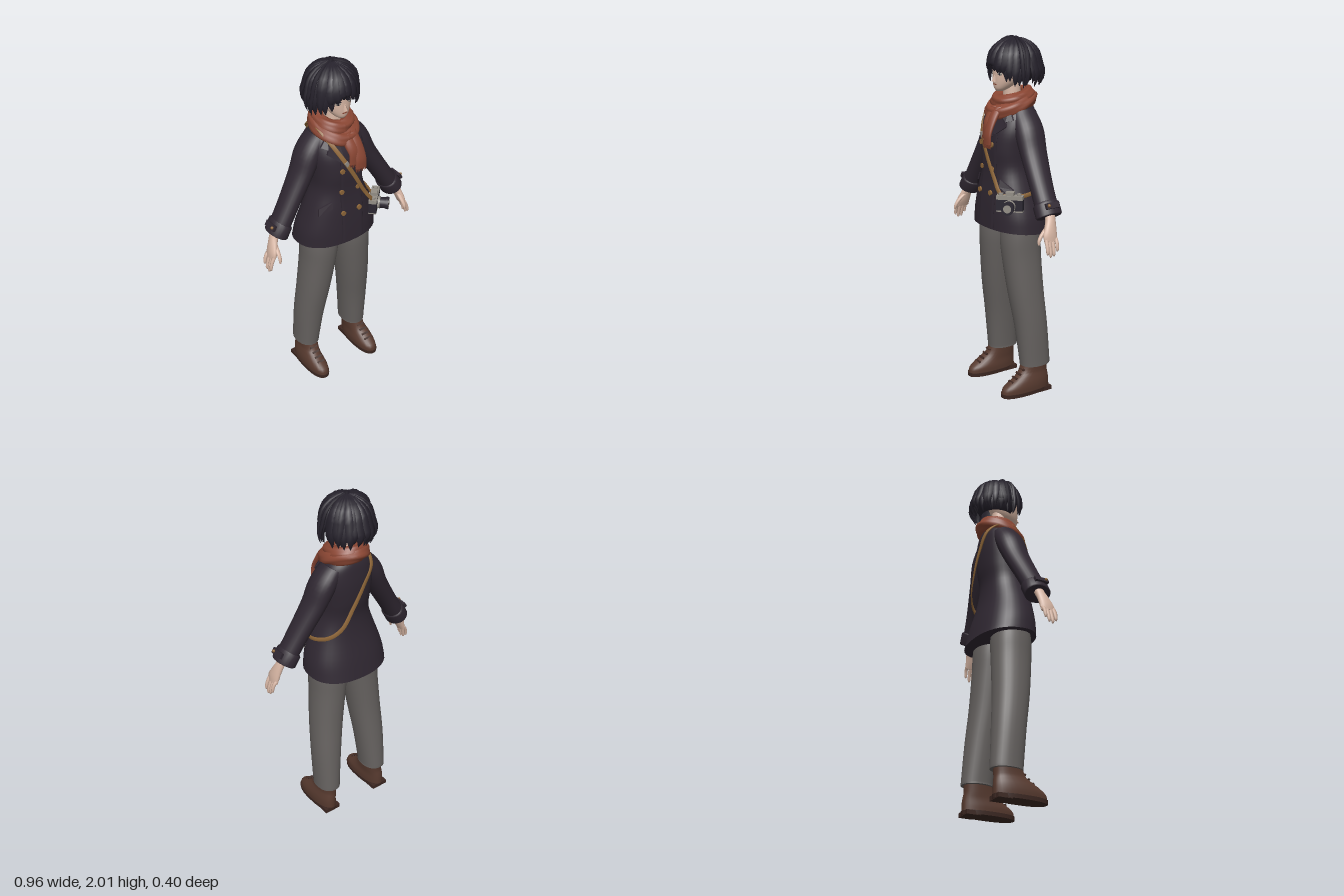
import * as THREE from 'three';

const mat = (name, color, side = THREE.FrontSide) =>
  Object.assign(new THREE.MeshStandardMaterial({ color, side }), { name });
const M = {
  coat: mat('dark plum wool', 0x2f2731),
  hair: mat('black hair', 0x25212b, THREE.DoubleSide),
  scarf: mat('rust scarf', 0x8a4633),
  trousers: mat('grey trousers', 0x666260),
  boots: mat('brown leather', 0x573a2f),
  sole: mat('dark sole', 0x3d2822),
  skin: mat('skin', 0xd6b5a3),
  strap: mat('tan leather', 0x8f6739, THREE.DoubleSide),
  metal: mat('grey metal', 0x938e86),
  black: mat('black plastic', 0x2a2630),
};
const V = (x, y, z) => new THREE.Vector3(x, y, z);
const Z = V(0, 0, 1);

let seed = 11;
const rnd = () => (seed = (seed * 16807) % 2147483647) / 2147483647;

// Resample sections [x, y, z, halfWidth, halfDepth] along a smooth curve
function smooth(secs, k = 4) {
  const a = new THREE.CatmullRomCurve3(secs.map(s => V(s[0], s[1], s[2])), false, 'catmullrom');
  const b = new THREE.CatmullRomCurve3(secs.map(s => V(s[3], s[4], 0)), false, 'catmullrom');
  const n = (secs.length - 1) * k;
  return Array.from({ length: n + 1 }, (_, i) => {
    const p = a.getPoint(i / n), r = b.getPoint(i / n);
    return [p.x, p.y, p.z, r.x, r.y];
  });
}

// Skin over rounded cross-sections, ordered bottom to top; normals give the depth direction
function sweep(secs, { n = 20, power = 2, normals = null, closed = false } = {}) {
  const pos = [], idx = [], rows = secs.length;
  const P = secs.map(s => V(s[0], s[1], s[2]));
  const bend = v => Math.sign(v) * Math.abs(v) ** (2 / power);
  const ring = i => {
    const lo = closed ? (i + rows - 1) % rows : Math.max(i - 1, 0);
    const hi = closed ? (i + 1) % rows : Math.min(i + 1, rows - 1);
    const d = normals ? normals[i] : Z;
    const e = P[hi].clone().sub(P[lo]).cross(d).normalize();
    for (let j = 0; j < n; j++) {
      const a = (j / n) * Math.PI * 2;
      const q = P[i].clone().addScaledVector(e, secs[i][3] * bend(Math.sin(a)))
        .addScaledVector(d, secs[i][4] * bend(Math.cos(a)));
      pos.push(q.x, q.y, q.z);
    }
  };
  for (let i = 0; i < rows; i++) ring(i);
  for (let i = 0; i < (closed ? rows : rows - 1); i++) for (let j = 0; j < n; j++) {
    const k = (j + 1) % n, u = ((i + 1) % rows) * n;
    idx.push(i * n + j, i * n + k, u + k, i * n + j, u + k, u + j);
  }
  if (!closed) for (const i of [0, rows - 1]) {
    const base = pos.length / 3;
    ring(i);
    pos.push(...P[i].toArray());
    for (let j = 0; j < n; j++) {
      const k = base + (j + 1) % n;
      idx.push(base + n, i ? base + j : k, i ? k : base + j);
    }
  }
  const g = new THREE.BufferGeometry();
  g.setAttribute('position', new THREE.Float32BufferAttribute(pos, 3));
  g.setIndex(idx);
  g.computeVertexNormals();
  return g;
}

// Coat body, shared by everything that lies on it
const TORSO = smooth([
  [0, .955, -.005, .243, .176], [0, 1.05, .005, .230, .163], [0, 1.18, .018, .188, .140],
  [0, 1.30, .017, .148, .126], [0, 1.40, .013, .150, .138], [0, 1.50, .004, .160, .135],
  [0, 1.58, -.010, .150, .116], [0, 1.63, -.020, .120, .097], [0, 1.675, -.025, .07, .07]]);
function frontZ(x, y) {
  let i = 0;
  while (i < TORSO.length - 2 && TORSO[i + 1][1] < y) i++;
  const A = TORSO[i], B = TORSO[i + 1], t = (y - A[1]) / (B[1] - A[1]);
  const [z, w, h] = [2, 3, 4].map(k => A[k] + (B[k] - A[k]) * t);
  return z + h * Math.max(0, 1 - Math.abs(x / w) ** 2.3) ** (1 / 2.3);
}

export function createModel() {
  const root = new THREE.Group();
  root.name = 'figure';
  const add = (name, geo, m, parent = root) => {
    const mesh = new THREE.Mesh(geo, m);
    mesh.name = name;
    parent.add(mesh);
    return mesh;
  };
  const box = (name, m, w, h, d, x, y, z, parent) => {
    const b = add(name, new THREE.BoxGeometry(w, h, d), m, parent);
    b.position.set(x, y, z);
    return b;
  };
  // Flat cloth piece laid on the coat front
  const plate = (name, pts, m, lift = .006) => {
    const g = new THREE.ExtrudeGeometry(new THREE.Shape(pts.map(p => new THREE.Vector2(...p))),
      { depth: .009, bevelEnabled: false });
    const p = g.attributes.position;
    for (let i = 0; i < p.count; i++) p.setZ(i, p.getZ(i) + frontZ(p.getX(i), p.getY(i)) + lift);
    g.computeVertexNormals();
    add(name, g, m);
  };

  // Coat, with the hem dipping at the back
  const coat = sweep(TORSO, { n: 40, power: 2.3 });
  const cp = coat.attributes.position;
  for (let i = 0; i < cp.count; i++) {
    const fade = Math.max(0, 1 - (cp.getY(i) - .955) / .2);
    cp.setY(i, cp.getY(i) + cp.getZ(i) * .09 * Math.min(1, fade));
  }
  coat.computeVertexNormals();
  add('coat', coat, M.coat);
  const placket = [.98, 1.05, 1.12, 1.2, 1.28, 1.36, 1.44, 1.5].map(y => [.012, y, frontZ(0, y) - .002, .07, .007]);
  add('placket', sweep(placket, { n: 12, power: 4 }), M.coat);
  for (const s of [1, -1]) {
    plate('lapel', [[s * .025, 1.47], [s * .045, 1.61], [s * .085, 1.635], [s * .132, 1.575], [s * .105, 1.565],
      [s * .115, 1.54]], M.coat);
    plate('pocketFlap', [[s * .105, 1.255], [s * .165, 1.205], [s * .172, 1.165], [s * .108, 1.215]], M.coat);
    for (const y of [1.44, 1.305, 1.175]) {
      const b = add('button', new THREE.CylinderGeometry(.014, .014, .01, 14), M.strap);
      b.rotation.x = Math.PI / 2;
      b.position.set(s * .052, y, frontZ(s * .052, y) + .012);
    }

    // Sleeve and buttoned cuff
    add('sleeve', sweep(smooth([
      [s * .375, 1.125, .015, .054, .064], [s * .30, 1.25, .005, .053, .068], [s * .21, 1.40, -.01, .058, .078],
      [s * .155, 1.51, -.018, .066, .085], [s * .095, 1.60, -.022, .052, .075]]), { n: 24 }), M.coat);
    add('cuff', sweep([[s * .392, 1.095, .015, .056, .070], [s * .389, 1.10, .015, .062, .076],
      [s * .358, 1.153, .012, .061, .076], [s * .353, 1.16, .012, .054, .068]], { n: 24 }), M.coat);
    const tab = box('cuffTab', M.coat, .016, .032, .08, s * .424, 1.165, .02);
    tab.rotation.z = s * .53;
    const cb = add('cuffButton', new THREE.SphereGeometry(.009, 10, 8), M.strap);
    cb.position.set(s * .433, 1.17, .045);

    // Hand
    add('palm', sweep(smooth([
      [s * .448, .975, .042, .013, .040], [s * .438, 1.01, .042, .019, .043], [s * .425, 1.05, .032, .021, .036],
      [s * .408, 1.09, .02, .023, .029], [s * .385, 1.13, .015, .026, .030]], 3), { n: 16 }), M.skin);
    [.012, .034, .055, .074].forEach((z, i) => {
      const tip = [.925, .903, .898, .915][i];
      add('finger', sweep(smooth([
        [s * .468, tip, z + .004, .004, .004], [s * .470, tip + .012, z + .004, .008, .009],
        [s * .462, tip + .045, z + .002, .0095, .010], [s * .446, .99, z, .011, .011]], 2), { n: 8 }), M.skin);
    });
    add('thumb', sweep(smooth([
      [s * .428, .963, .106, .005, .005], [s * .425, .985, .102, .010, .010],
      [s * .422, 1.015, .083, .012, .013], [s * .418, 1.05, .045, .014, .016]], 2), { n: 8 }), M.skin);

    // Trouser leg
    add('trouserLeg', sweep(smooth([
      [s * .167, .165, -.055, .068, .090], [s * .166, .20, -.053, .069, .091], [s * .155, .40, -.035, .081, .095],
      [s * .136, .60, -.012, .090, .103], [s * .115, .80, .002, .098, .111], [s * .106, .92, .006, .104, .113],
      [s * .10, 1.04, .006, .10, .10]]), { n: 28, power: 2.2 }), M.trousers);

    // Boot
    add('boot', sweep(smooth([
      [s * .178, .02, .018, .056, .154], [s * .178, .05, .015, .058, .151], [s * .177, .075, 0, .056, .135],
      [s * .174, .10, -.02, .052, .112], [s * .170, .13, -.038, .050, .090], [s * .168, .19, -.053, .053, .078]], 3),
      { n: 28, power: 2.3 }), M.boots);
    add('sole', sweep([[s * .178, .004, .018, .058, .156], [s * .178, .026, .018, .060, .158]],
      { n: 28, power: 2.4 }), M.sole);
    box('heel', M.sole, .1, .024, .08, s * .178, .012, -.093);
    [[.085, .112], [.105, .087], [.125, .062], [.147, .038]].forEach(([y, z]) => {
      const lace = box('lace', M.sole, .045, .007, .012, s * .175, y, z);
      lace.rotation.x = .7;
    });
  }

  // Head and face
  add('neck', new THREE.CylinderGeometry(.043, .055, .2, 20), M.skin).position.set(0, 1.69, -.01);
  add('head', sweep(smooth([
    [0, 1.718, .068, .016, .018], [0, 1.735, .054, .040, .044], [0, 1.77, .032, .066, .070],
    [0, 1.82, .018, .081, .083], [0, 1.88, .006, .088, .092], [0, 1.94, -.01, .075, .085]], 4), { n: 28 }), M.skin);
  const nose = add('nose', new THREE.ConeGeometry(.015, .05, 4), M.skin);
  nose.position.set(0, 1.795, .102);
  nose.rotation.x = -.2;
  for (const s of [1, -1]) {
    for (const [name, m, r, sx, sy, dz] of [['eyeWhite', M.metal, .015, 1, .55, 0], ['iris', M.hair, .008, .9, 1, .002]]) {
      const eye = add(name, new THREE.SphereGeometry(r, 12, 8), m);
      eye.scale.set(sx, sy, .25);
      eye.position.set(s * .037, 1.815, .092 + dz);
      eye.rotation.y = s * .4;
    }
    box('lash', M.hair, .032, .004, .006, s * .037, 1.825, .093).rotation.y = s * .4;
    box('brow', M.hair, .034, .005, .006, s * .038, 1.85, .089).rotation.y = s * .4;
    const ear = add('ear', new THREE.SphereGeometry(.02, 10, 8), M.skin);
    ear.scale.set(.5, 1.3, .8);
    ear.position.set(s * .086, 1.81, 0);
  }
  box('mouth', M.scarf, .028, .005, .008, 0, 1.757, .099);

  // Hair: dome, back shell and overlapping tapered locks
  const dome = add('hairDome', new THREE.SphereGeometry(1, 32, 12, 0, Math.PI * 2, 0, Math.PI / 2), M.hair);
  dome.scale.set(.122, .105, .134);
  const shell = add('hairBack', new THREE.SphereGeometry(1, 32, 8, Math.PI * .82, Math.PI * 1.36, Math.PI / 2, Math.PI * .25), M.hair);
  shell.scale.set(.122, .15, .134);
  for (const h of [dome, shell]) h.position.set(0, 1.877, -.025);
  const lock = (a, len, w, lift) => {
    const secs = [], normals = [], steps = 10, side = Math.abs(Math.sin(a / 2)), sway = (rnd() - .5) * .3;
    for (let i = steps; i >= 0; i--) {
      const t = i / steps, th = .1 + Math.min(t / .55, 1) * (Math.PI / 2 - .1), drop = Math.max(t - .55, 0) / .45;
      const b = a + sway * t;
      const r = Math.sin(th) * (lift + .2 * side * Math.sin(drop * Math.PI * .75) - .12 * side * drop * drop);
      secs.push([Math.sin(b) * r * .125, 1.878 + .108 * lift * Math.cos(th) - len * drop, -.025 + Math.cos(b) * r * .134,
        w * (.35 + .65 * Math.sin(th)) * (1 - drop ** 2 * .93), .010 * (1 - drop ** 2 * .8)]);
      normals.push(V(Math.sin(b) * Math.sin(th), Math.cos(th), Math.cos(b) * Math.sin(th)));
    }
    add('hairLock', sweep(secs, { n: 6, normals }), M.hair);
  };
  for (let layer = 0; layer < 2; layer++) for (let i = 0; i < 26; i++) {
    const a = -Math.PI + ((i + layer * .5) / 26) * Math.PI * 2 + (rnd() - .5) * .1, f = Math.abs(a);
    const len = f < .35 ? .035 : f < .65 ? .06 : f < 1 ? .105 : .125;
    lock(a, len + (rnd() - .5) * .03 - layer * .012, .022 + rnd() * .008, 1.0 + layer * .05 + rnd() * .025);
  }
  for (const [a, l] of [[1.25, .135], [-1.25, .135], [1.6, .12], [-1.7, .12]]) lock(a, l, .013, 1.14);

  // Scarf: two wrapped loops with folds, hanging tails and fringe
  for (const [rx, rz, cz, yb, yf, r] of [[.092, .108, -.003, 1.685, 1.605, .040], [.078, .088, -.015, 1.70, 1.66, .036]]) {
    const pts = Array.from({ length: 12 }, (_, i) => {
      const a = (i / 12) * Math.PI * 2;
      return V(Math.sin(a) * rx, (yb + yf) / 2 + Math.cos(a) * (yf - yb) / 2, cz + Math.cos(a) * rz);
    });
    const g = new THREE.TubeGeometry(new THREE.CatmullRomCurve3(pts, true), 60, r, 20, true);
    const { position: p, normal: nn, uv } = g.attributes;
    for (let i = 0; i < p.count; i++) {
      const k = .004 * Math.sin(uv.getY(i) * Math.PI * 10 + Math.sin(uv.getX(i) * Math.PI * 4) * 2);
      p.setXYZ(i, p.getX(i) + nn.getX(i) * k, p.getY(i) + nn.getY(i) * k, p.getZ(i) + nn.getZ(i) * k);
    }
    g.computeVertexNormals();
    add('scarfLoop', g, M.scarf);
  }
  for (const [x, y, z] of [[.048, 1.445, .183], [.018, 1.475, .170]]) {
    add('scarfTail', sweep(smooth([[x, y, z, .036, .009], [x, y + .06, z - .005, .034, .013],
      [x - .008, 1.58, .140, .036, .024], [x - .015, 1.64, .095, .034, .03]]), { n: 16 }), M.scarf);
    for (let i = 0; i < 7; i++) {
      const fr = add('fringe', new THREE.ConeGeometry(.006, .032, 5), M.scarf);
      fr.rotation.x = Math.PI;
      fr.position.set(x - .03 + i * .01, y - .01 - rnd() * .006, z);
    }
  }

  // Cross-body strap
  const path = new THREE.CatmullRomCurve3([
    [.15, 1.18, .155], [.085, 1.27, .165], [.02, 1.39, .170], [-.04, 1.50, .160], [-.09, 1.60, .105], [-.112, 1.66, .03],
    [-.11, 1.665, -.045], [-.085, 1.605, -.130], [-.02, 1.50, -.148], [.05, 1.38, -.147], [.11, 1.27, -.132],
    [.165, 1.21, -.085], [.203, 1.18, 0], [.192, 1.17, .085]].map(p => V(...p)), true);
  const pts = path.getPoints(90).slice(0, 90);
  const normals = pts.map(p => V(p.x, p.y > 1.58 ? (p.y - 1.58) * 3 : 0, p.z * 1.4).normalize());
  add('strap', sweep(pts.map(p => [p.x, p.y, p.z, .012, .004]), { n: 8, power: 4, normals, closed: true }), M.strap);
  box('strapBuckle', M.metal, .03, .022, .008, -.03, 1.485, .166).rotation.z = -1.05;

  // Camera hanging at the left hip
  const cam = new THREE.Group();
  cam.name = 'camera';
  cam.position.set(.186, 1.14, .126);
  cam.rotation.y = Math.PI / 4;
  root.add(cam);
  box('cameraBody', M.black, .145, .06, .044, 0, -.008, 0, cam);
  box('cameraTop', M.metal, .145, .022, .044, 0, .033, 0, cam);
  box('cameraBase', M.metal, .145, .008, .044, 0, -.041, 0, cam);
  box('viewfinder', M.metal, .045, .02, .036, 0, .053, 0, cam);
  for (const x of [-.05, .05]) add('dial', new THREE.CylinderGeometry(.013, .013, .012, 14), M.metal, cam).position.set(x, .049, 0);
  for (const [name, r, len, z, m] of [['lensMount', .034, .014, .028, M.metal], ['lensBarrel', .031, .05, .05, M.black],
    ['lensHood', .035, .014, .075, M.black], ['lensGlass', .022, .004, .082, M.metal]]) {
    const c = add(name, new THREE.CylinderGeometry(r, r, len, 24), m, cam);
    c.rotation.x = Math.PI / 2;
    c.position.set(0, -.012, z);
  }
  return root;
}
